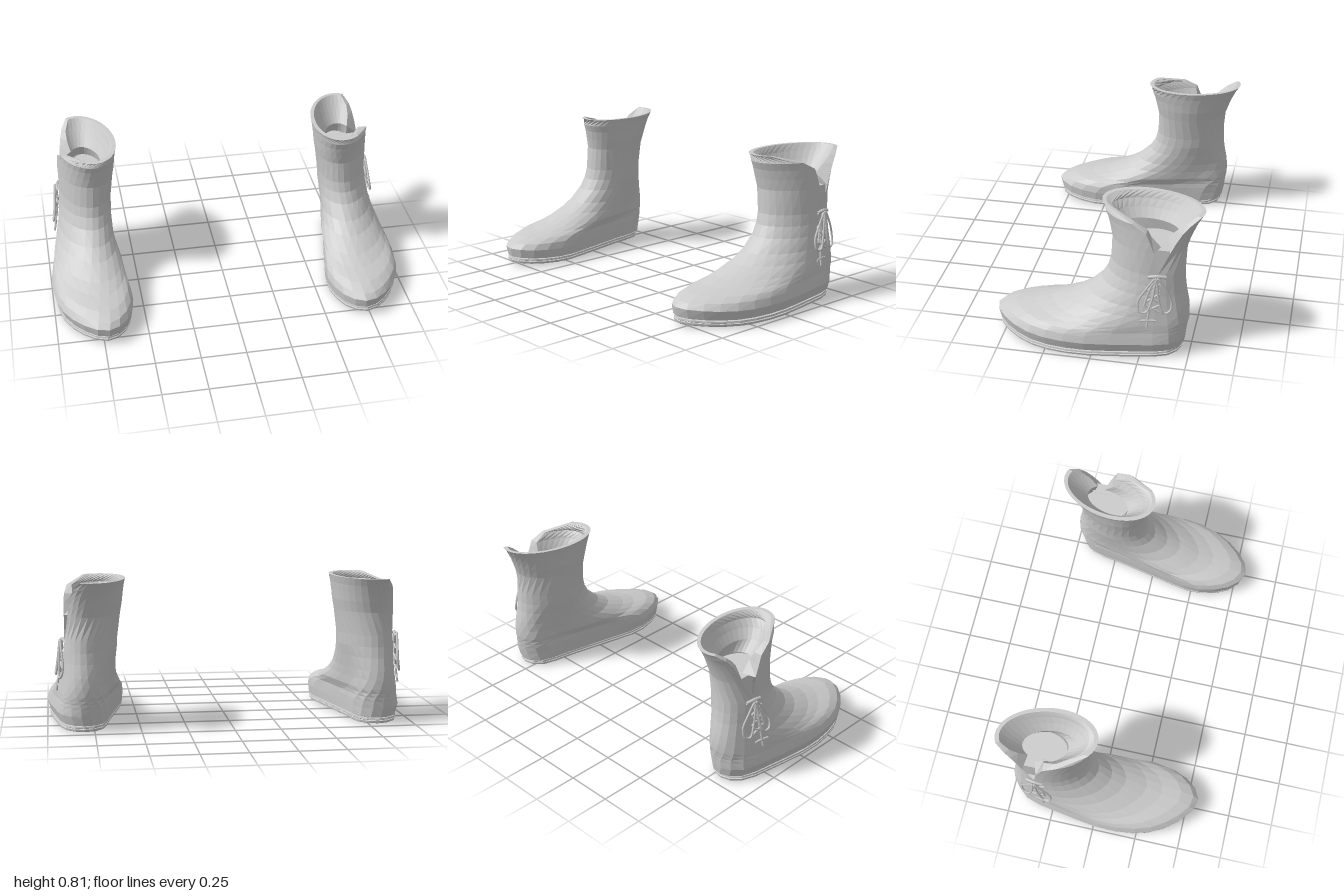
import * as THREE from 'three';

const mat = new THREE.MeshStandardMaterial({ color: 0xcccccc, flatShading: true, side: THREE.DoubleSide });
const laceMat = new THREE.MeshStandardMaterial({ color: 0xcccccc, side: THREE.DoubleSide });
const N = 26;
const V = (x, y, z) => new THREE.Vector3(x, y, z);

// Footprint in unit coordinates, toe first, then round the outer side
const foot = new THREE.CatmullRomCurve3([
  [-0.25, 1], [0.4, 0.83], [0.86, 0.5], [1, 0.08], [0.84, -0.46], [0.64, -0.85],
  [0.16, -1], [-0.36, -0.88], [-0.57, -0.46], [-0.82, 0.02], [-1, 0.46], [-0.78, 0.82],
].map(([u, v]) => V(u, 0, v)), true);

// Levels: height, back z, front z, inner x, outer x, share of footprint shape
const levels = [
  [0.04, -0.465, 0.55, 0.565, 0.985, 1], [0.09, -0.475, 0.56, 0.56, 1.0, 1],
  [0.13, -0.48, 0.53, 0.565, 0.99, 1], [0.155, -0.483, 0.46, 0.575, 0.98, 1],
  [0.175, -0.486, 0.35, 0.585, 0.97, 0.9], [0.2, -0.49, 0.26, 0.59, 0.96, 0.8],
  [0.25, -0.49, 0.14, 0.61, 0.94, 0.6], [0.3, -0.485, 0.06, 0.62, 0.925, 0.4],
  [0.37, -0.472, -0.015, 0.622, 0.912, 0.2], [0.43, -0.465, -0.05, 0.62, 0.905, 0],
  [0.49, -0.463, -0.065, 0.617, 0.9, 0], [0.62, -0.47, -0.07, 0.6, 0.9, 0],
  [0.68, -0.49, -0.057, 0.59, 0.9, 0], [0.73, -0.51, -0.045, 0.585, 0.9, 0],
  [0.77, -0.53, -0.03, 0.58, 0.902, 0], [0.81, -0.555, -0.015, 0.572, 0.905, 0],
];
// Side opening: height, front edge z, back edge z
const opening = [[0.49, -0.333, -0.337], [0.62, -0.317, -0.395], [0.68, -0.295, -0.425],
  [0.73, -0.275, -0.455], [0.77, -0.2, -0.49], [0.81, -0.05, -0.54]];

// Table row at a height, linearly interpolated
function at(table, y) {
  let i = 0;
  while (i < table.length - 2 && y > table[i + 1][0]) i++;
  const a = table[i], b = table[i + 1];
  const t = THREE.MathUtils.clamp((y - a[0]) / (b[0] - a[0]), 0, 1);
  return a.map((n, k) => n + (b[k] - n) * t);
}

// Point of a level at an angle (0 = toe, 90 degrees = outer side)
function point([y, zb, zf, xi, xo, w], a, inset = 0) {
  const f = foot.getPoint((((a / (2 * Math.PI)) % 1) + 1) % 1);
  const u = THREE.MathUtils.lerp(Math.sin(a) - 0.2 * Math.cos(a), f.x, w);
  const v = THREE.MathUtils.lerp(Math.cos(a), f.z, w);
  const z = (zf + zb) / 2 + v * ((zf - zb) / 2 - inset);
  const lift = y < 0.1 ? 0.014 * Math.max(0, (z - 0.2) / 0.35) ** 2 : 0;
  return V((xi + xo) / 2 + u * ((xo - xi) / 2 - inset), y + lift, z);
}
const angle = (l, z) => Math.acos(THREE.MathUtils.clamp((2 * z - l[1] - l[2]) / (l[2] - l[1]), -1, 1));

// Ring from the back edge of the opening, round the heel and toe, to its front edge
function ring(l, inset = 0) {
  const [, zF, zB] = l[0] <= 0.49 ? [0, -0.335, -0.335] : at(opening, l[0]);
  const start = angle(l, zB), end = 2 * Math.PI + angle(l, zF);
  return Array.from({ length: N + 1 }, (_, j) => point(l, start + (end - start) * j / N, inset));
}

// Skin over rows of points
function loft(name, rows) {
  const pos = [], put = (...ps) => ps.forEach((p) => pos.push(p.x, p.y, p.z));
  for (let i = 0; i < rows.length - 1; i++) {
    for (let j = 0; j < rows[i].length - 1; j++) {
      const a = rows[i][j], b = rows[i][j + 1], c = rows[i + 1][j + 1], d = rows[i + 1][j];
      put(a, b, c, a, c, d);
    }
  }
  const geo = new THREE.BufferGeometry();
  geo.setAttribute('position', new THREE.Float32BufferAttribute(pos, 3));
  geo.computeVertexNormals();
  const mesh = new THREE.Mesh(geo, mat);
  mesh.name = name;
  return mesh;
}

// Lace through [z, y] points lying just off the outer side
function lace(name, pts, off = 0.012, closed = false, r = 0.006) {
  const path = pts.map(([z, y]) => {
    const l = at(levels, y);
    return V(point(l, angle(l, z)).x + off, y, z);
  });
  const curve = new THREE.CatmullRomCurve3(path, closed);
  const mesh = new THREE.Mesh(new THREE.TubeGeometry(curve, pts.length * 6, r, 6, closed), laceMat);
  mesh.name = name;
  return mesh;
}

function boot(name) {
  const g = new THREE.Group();
  g.name = name;

  // Upper with its open collar
  const bottom = ring([0.036, -0.45, 0.535, 0.58, 0.97, 1]);
  const outer = levels.map((l) => ring(l));
  g.add(loft('upper', [bottom, ...outer]));

  // Lining funnels down to an inner floor
  const insets = [0.07, 0.045, 0.03, 0.022];
  const lining = levels.slice(-4).map((l, i) => ring(l, insets[i]));
  const floorLevel = [0.62, -0.44, -0.18, 0.655, 0.83, 0];
  const first = levels[11];
  const [, zF, zB] = at(opening, 0.62);
  const s = angle(first, zB), e = 2 * Math.PI + angle(first, zF);
  lining.unshift(Array.from({ length: N + 1 }, (_, j) => point(floorLevel, s + (e - s) * j / N)));
  g.add(loft('lining', [...lining].reverse()));
  g.add(loft('collarRim', [outer[15], lining[4]]));
  for (const k of [0, N]) {
    g.add(loft('openingEdge', lining.map((row, i) => [outer[11 + i][k], row[k]])));
  }
  const floor = new THREE.Mesh(new THREE.CircleGeometry(1, 24), mat);
  floor.name = 'innerFloor';
  floor.rotation.x = -Math.PI / 2;
  floor.scale.set(0.09, 0.13, 1);
  floor.position.set(0.743, 0.62, -0.31);
  g.add(floor);

  // Tongue behind the slit
  const tongue = new THREE.Mesh(new THREE.BoxGeometry(0.06, 0.17, 0.11), mat);
  tongue.name = 'tongue';
  tongue.position.set(0.835, 0.536, -0.35);
  g.add(tongue);

  // Sole in two thin layers
  const soleRing = (y, inset) => ring([y, -0.455 + inset, 0.548 - inset, 0.568 + inset, 0.988 - inset, 1]);
  const centre = (y) => Array.from({ length: N + 1 }, () => V(0.78, y, 0));
  g.add(loft('sole', [centre(0), soleRing(0.003, 0.012), soleRing(0.007, 0.002), soleRing(0.018, 0),
    soleRing(0.021, 0.006), soleRing(0.024, 0), soleRing(0.033, 0.002), soleRing(0.036, 0.014), centre(0.036)]));

  // Bow, crossed lacing and tails
  g.add(lace('bowKnot', [[-0.29, 0.488], [-0.335, 0.495], [-0.38, 0.488]], 0.012, false, 0.009));
  g.add(lace('frontBowLoop', [[-0.33, 0.49], [-0.28, 0.42], [-0.243, 0.35], [-0.25, 0.3],
    [-0.285, 0.295], [-0.31, 0.35], [-0.325, 0.43]], 0.026, true));
  g.add(lace('backBowLoop', [[-0.34, 0.49], [-0.385, 0.42], [-0.412, 0.35], [-0.405, 0.3],
    [-0.375, 0.29], [-0.352, 0.35], [-0.342, 0.43]], 0.026, true));
  for (const [y, h] of [[0.43, 0.04], [0.37, 0.05], [0.31, 0.04]]) {
    g.add(lace('crossLace', [[-0.28, y + h / 2], [-0.315, y], [-0.35, y - h / 2]]));
    g.add(lace('crossLace', [[-0.35, y + h / 2], [-0.315, y], [-0.28, y - h / 2]]));
  }
  g.add(lace('bottomLace', [[-0.255, 0.24], [-0.295, 0.243], [-0.335, 0.24]]));
  g.add(lace('laceTail', [[-0.335, 0.49], [-0.31, 0.38], [-0.298, 0.29], [-0.29, 0.205]]));
  g.add(lace('laceTail', [[-0.335, 0.49], [-0.3, 0.42], [-0.275, 0.33]], 0.018));
  return g;
}

export function createModel() {
  const model = new THREE.Group();
  model.name = 'pairOfBoots';
  const right = boot('rightBoot');
  right.scale.x = -1;
  model.add(boot('leftBoot'), right);
  return model;
}
